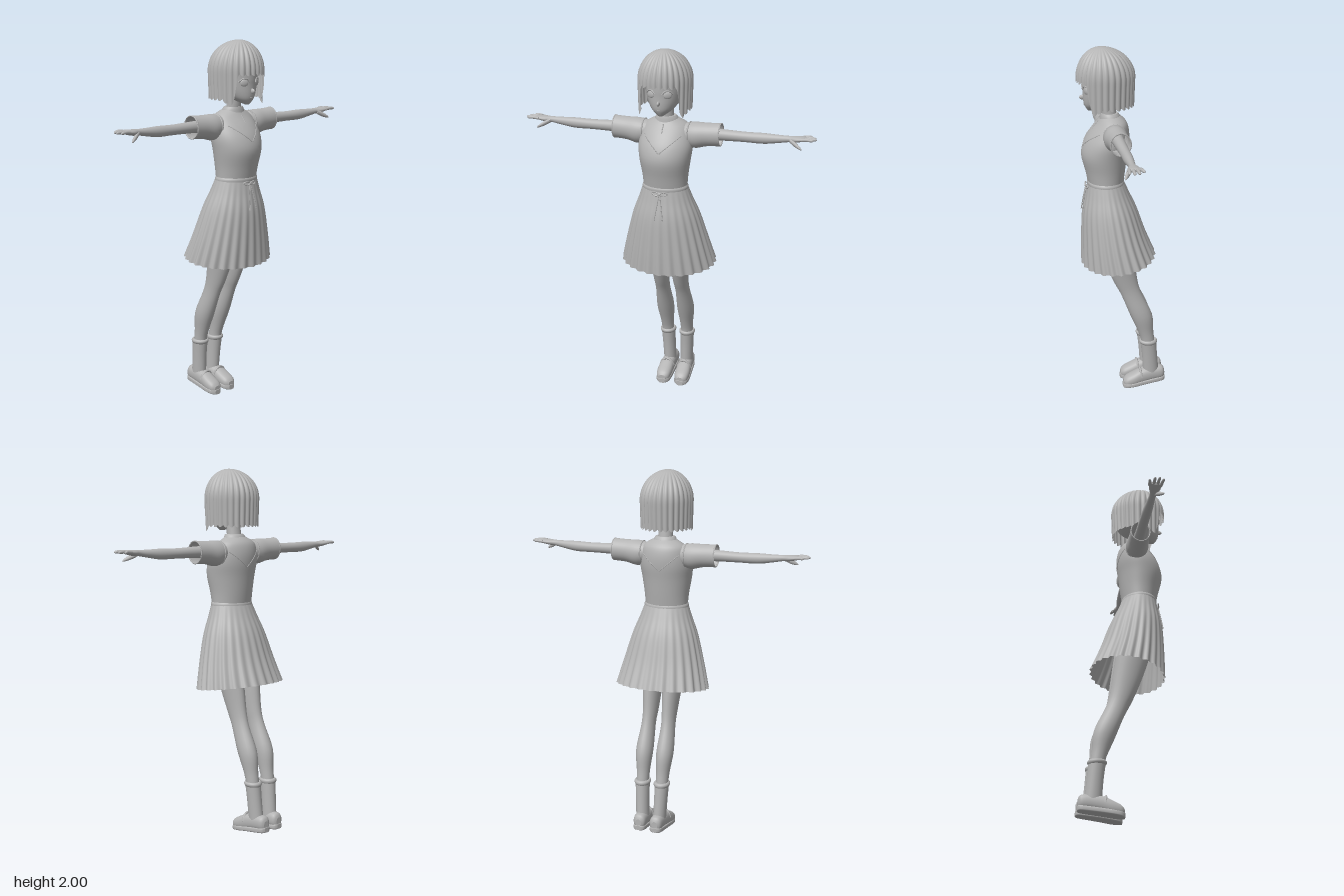
import * as THREE from 'three';

const grey = new THREE.MeshStandardMaterial({ color: 0xb4b4b4, side: THREE.DoubleSide });
grey.name = 'plain grey';
const AXES = { x: [0, 1, 2], y: [1, 2, 0], z: [2, 0, 1] };

// Smoothly resample rows of numbers
function resample(rows, steps) {
  const out = [], last = rows.length - 1;
  for (let i = 0; i <= last * steps; i++) {
    const k = Math.min(Math.floor(i / steps), last - 1), t = i / steps - k;
    const [p, a, b, q] = [rows[Math.max(k - 1, 0)], rows[k], rows[k + 1], rows[Math.min(k + 2, last)]];
    out.push(a.map((v, c) => v + 0.5 * t * (b[c] - p[c] + t * (2 * p[c] - 5 * v + 4 * b[c] - q[c] + t * (3 * (v - b[c]) + q[c] - p[c])))));
  }
  return out;
}

// Loft along an axis; each row is [along, centreU, centreV, radiusU, radiusV]
function loft(axis, rows, { sides = 24, steps = 4, pow = 1, caps = true, warp = null } = {}) {
  const [A, U, V] = AXES[axis], rings = resample(rows, steps), pos = [], idx = [];
  const bend = c => Math.sign(c) * Math.abs(c) ** pow;
  rings.forEach((r, i) => {
    for (let j = 0; j < sides; j++) {
      const a = j / sides * Math.PI * 2, p = [0, 0, 0];
      p[A] = r[0];
      p[U] = r[1] + r[3] * bend(Math.cos(a));
      p[V] = r[2] + r[4] * bend(Math.sin(a));
      if (warp) warp(p, a, i / (rings.length - 1), r);
      pos.push(...p);
    }
  });
  for (let i = 0; i < rings.length - 1; i++) for (let j = 0; j < sides; j++) {
    const a = i * sides + j, b = i * sides + (j + 1) % sides;
    idx.push(a, b, a + sides, b, b + sides, a + sides);
  }
  if (caps) for (const end of [0, rings.length - 1]) {
    const r = rings[end], c = [0, 0, 0], base = pos.length / 3;
    c[A] = r[0]; c[U] = r[1]; c[V] = r[2];
    pos.push(...pos.slice(end * sides * 3, (end + 1) * sides * 3), ...c);
    for (let j = 0; j < sides; j++) {
      const a = base + j, b = base + (j + 1) % sides;
      idx.push(base + sides, ...(end ? [a, b] : [b, a]));
    }
  }
  const g = new THREE.BufferGeometry();
  g.setAttribute('position', new THREE.Float32BufferAttribute(pos, 3));
  g.setIndex(idx);
  g.computeVertexNormals();
  return g;
}

// Thin cord through points
function cord(points, r, closed = false) {
  const curve = new THREE.CatmullRomCurve3(points.map(p => new THREE.Vector3(...p)), closed);
  return new THREE.TubeGeometry(curve, points.length * 6, r, 6, closed);
}

function ball(x, y, z, rx, ry, rz, turn = 0) {
  return new THREE.SphereGeometry(1, 28, 18).scale(rx, ry, rz).rotateY(turn).translate(x, y, z);
}

export function createModel() {
  const model = new THREE.Group();
  model.name = 'girl';
  const add = (name, g) => {
    const m = new THREE.Mesh(g, grey);
    m.name = name;
    model.add(m);
  };
  const pair = (name, g) => {
    add(name + 'Left', g);
    const f = g.clone().scale(-1, 1, 1), ix = f.index.array;
    for (let i = 0; i < ix.length; i += 3) [ix[i], ix[i + 1]] = [ix[i + 1], ix[i]];
    f.computeVertexNormals();
    add(name + 'Right', f);
  };

  // Head, face and neck
  add('head', loft('y', [
    [1.666, .168, 0, .012, .012], [1.68, .148, 0, .042, .034], [1.70, .13, 0, .07, .058],
    [1.73, .103, 0, .102, .08], [1.77, .092, 0, .115, .094], [1.81, .09, 0, .12, .1],
    [1.87, .085, 0, .122, .105], [1.95, .09, 0, .07, .06]], { sides: 36 }));
  add('scalp', ball(0, 1.835, .055, .125, .135, .115));
  add('nose', ball(0, 1.738, .207, .008, .013, .018));
  add('mouth', cord([[-.014, 1.703, .195], [0, 1.701, .2], [.014, 1.703, .195]], .0025));
  pair('eye', ball(.045, 1.782, .193, .022, .019, .007, .42));
  pair('eyelid', cord([[.02, 1.787, .208], [.034, 1.803, .203], [.054, 1.803, .193], [.07, 1.787, .178]], .004));
  add('neck', loft('y', [[1.57, .055, 0, .042, .05], [1.63, .065, 0, .039, .041], [1.74, .08, 0, .038, .038]]));

  // Bobbed hair with a fringe, long side locks and ribbed strands
  const hem = a => {
    const away = Math.abs(Math.atan2(Math.sin(a), Math.cos(a)));
    const fringe = 1 - THREE.MathUtils.smoothstep(away, .72, .92);
    const lock = Math.exp(-(((away - 1.05) / .17) ** 2));
    return 1.7 + .13 * fringe - .025 * lock - .012 * Math.abs(Math.sin(14 * a));
  };
  add('hair', loft('y', [[1.7, 0, 0, 1, 1], [2, 0, 0, 1, 1]], {
    sides: 224, steps: 26, caps: false,
    warp: (p, a, f) => {
      const t = 1 - f, y = 2 - (2 - hem(a)) * t * t;
      const r = y > 1.84 ? Math.sqrt(Math.max(0, 1 - ((y - 1.84) / .16) ** 2)) : 1 - .2 * (1.84 - y);
      const s = r * (1 + Math.min(1, t * 3) * (.06 * Math.abs(Math.sin(14 * a)) - .045));
      p[0] = .142 * s * Math.sin(a);
      p[1] = y;
      p[2] = .085 + .025 * (1 - r) + .154 * s * Math.cos(a);
    }
  }));

  // Bodice
  const bodice = [
    [1.25, .087, 0, .093, .118], [1.33, .09, 0, .107, .124], [1.42, .095, 0, .123, .138],
    [1.49, .083, 0, .121, .146], [1.55, .066, 0, .104, .137], [1.6, .053, 0, .077, .118], [1.632, .058, 0, .05, .066]];
  add('bodice', loft('y', bodice, { sides: 48 }));
  add('collar', loft('y', [[1.615, .06, 0, .058, .07], [1.635, .063, 0, .052, .062], [1.648, .066, 0, .046, .053]], { sides: 32 }));

  // Seams lying on the bodice, front and back
  const fine = resample(bodice, 20);
  const onBodice = (x, y, side) => {
    const r = fine.reduce((b, c) => Math.abs(c[0] - y) < Math.abs(b[0] - y) ? c : b);
    return [x, y, r[1] + side * r[3] * Math.sqrt(Math.max(0, 1 - (x / r[4]) ** 2))];
  };
  for (const [name, side] of [['front', 1], ['back', -1]]) {
    const line = [];
    for (let i = -8; i <= 8; i++) line.push(onBodice(i / 8 * .1, 1.472 + Math.abs(i) / 8 * .085, side));
    add(name + 'YokeSeam', cord(line, .0025));
  }
  add('neckSlit', cord([1.61, 1.59, 1.565].map(y => onBodice(0, y, 1)), .003));

  // Sleeves with a rolled edge and an armhole seam
  pair('sleeve', loft('x', [
    [.08, 1.555, .056, .05, .05], [.15, 1.548, .057, .069, .063], [.22, 1.555, .056, .062, .057],
    [.295, 1.559, .055, .061, .055]], { sides: 32, caps: false }));
  const ring = (x, y, z, ry, rz) => Array.from({ length: 16 }, (_, i) =>
    [x, y + ry * Math.cos(i * Math.PI / 8), z + rz * Math.sin(i * Math.PI / 8)]);
  pair('sleeveHem', cord(ring(.291, 1.559, .055, .059, .053), .004, true));
  pair('armholeSeam', cord(ring(.125, 1.55, .057, .064, .06), .004, true));

  // Arms, palms and fingers
  pair('arm', loft('x', [
    [.13, 1.56, .057, .036, .036], [.3, 1.56, .057, .03, .029], [.42, 1.559, .056, .027, .026],
    [.52, 1.56, .058, .028, .025], [.6, 1.565, .061, .021, .02], [.655, 1.57, .064, .016, .018],
    [.69, 1.572, .065, .016, .028], [.73, 1.577, .064, .012, .034], [.742, 1.577, .064, .007, .03]]));
  [[.035, .772], [.055, .792], [.074, .797], [.092, .785]].forEach(([z, tip], i) => {
    const spread = (z - .064) * .12;
    pair('finger' + (i + 1), loft('x', [
      [.722, 1.577, z, .009, .009], [.75, 1.58, z + spread, .0085, .0085],
      [tip - .01, 1.579, z + 2 * spread, .007, .007], [tip, 1.578, z + 2 * spread, .002, .002]], { sides: 12 }));
  });
  pair('thumb', loft('x', [
    [.66, 1.566, .074, .013, .012], [.69, 1.55, .09, .013, .012], [.715, 1.537, .104, .008, .008],
    [.727, 1.531, .109, .002, .002]], { sides: 12 }));

  // Pleated skirt, hem rising towards the back
  add('skirt', loft('y', [
    [.817, .02, 0, .2, .258], [.95, .046, 0, .174, .225], [1.1, .068, 0, .147, .184],
    [1.2, .08, 0, .117, .146], [1.272, .088, 0, .096, .121]], {
    sides: 208, steps: 6, caps: false,
    warp: (p, a, f, r) => {
      const s = 1 + .03 * (1 - f) * Math.cos(26 * a);
      p[0] *= s;
      p[2] = r[1] + (p[2] - r[1]) * s;
      p[1] -= (p[2] - r[1]) * .125 * (1 - f);
    }
  }));
  add('waistband', loft('y', [[1.255, .087, 0, .1, .125], [1.268, .088, 0, .1, .125], [1.278, .088, 0, .096, .12]], { sides: 48 }));

  // Waist bow
  add('bowKnot', ball(0, 1.246, .195, .009, .009, .007));
  pair('bowLoop', cord([[0, 1.246, .196], [.022, 1.257, .196], [.042, 1.25, .19], [.024, 1.238, .197]], .0035, true));
  pair('bowTail', cord([[.003, 1.243, .197], [.012, 1.18, .209], [.024, 1.105, .22]], .003));

  // Legs with socks
  add('hips', ball(0, 1.07, .07, .13, .11, .1));
  pair('leg', loft('y', [
    [.1, -.16, .052, .038, .032], [.28, -.145, .057, .038, .034], [.36, -.13, .058, .044, .037],
    [.47, -.102, .06, .062, .047], [.6, -.047, .058, .058, .038], [.68, -.015, .056, .066, .041],
    [.8, .018, .058, .083, .05], [.95, .05, .064, .094, .06], [1.08, .07, .066, .085, .06]]));
  pair('sock', loft('y', [[.09, -.164, .05, .046, .036], [.2, -.155, .054, .044, .037], [.3, -.145, .057, .046, .04]]));
  pair('sockCuff', loft('y', [[.282, -.147, .056, .046, .04], [.29, -.146, .057, .051, .045],
    [.3, -.145, .057, .051, .045], [.306, -.145, .057, .045, .039]], { steps: 2 }));

  // Shoes with flat soles tipped towards the toe
  pair('shoe', loft('z', [
    [-.242, .048, .077, .016, .022], [-.226, .048, .082, .034, .04], [-.17, .05, .08, .038, .044],
    [-.11, .052, .07, .041, .046], [-.06, .054, .054, .043, .04], [-.02, .054, .043, .037, .03],
    [-.003, .054, .038, .02, .016]], { pow: .85 }));
  pair('sole', loft('z', [
    [-.245, .048, .049, .014, .013], [-.23, .048, .048, .033, .016], [-.17, .05, .041, .039, .016],
    [-.11, .052, .034, .042, .016], [-.06, .054, .027, .044, .016], [-.02, .054, .022, .038, .016],
    [0, .054, .019, .018, .014]], { pow: .5, sides: 32 }));
  pair('shoeStrap', cord([[.012, .075, -.105], [.026, .105, -.1], [.052, .118, -.098], [.078, .105, -.1], [.092, .075, -.105]], .007));
  return model;
}
